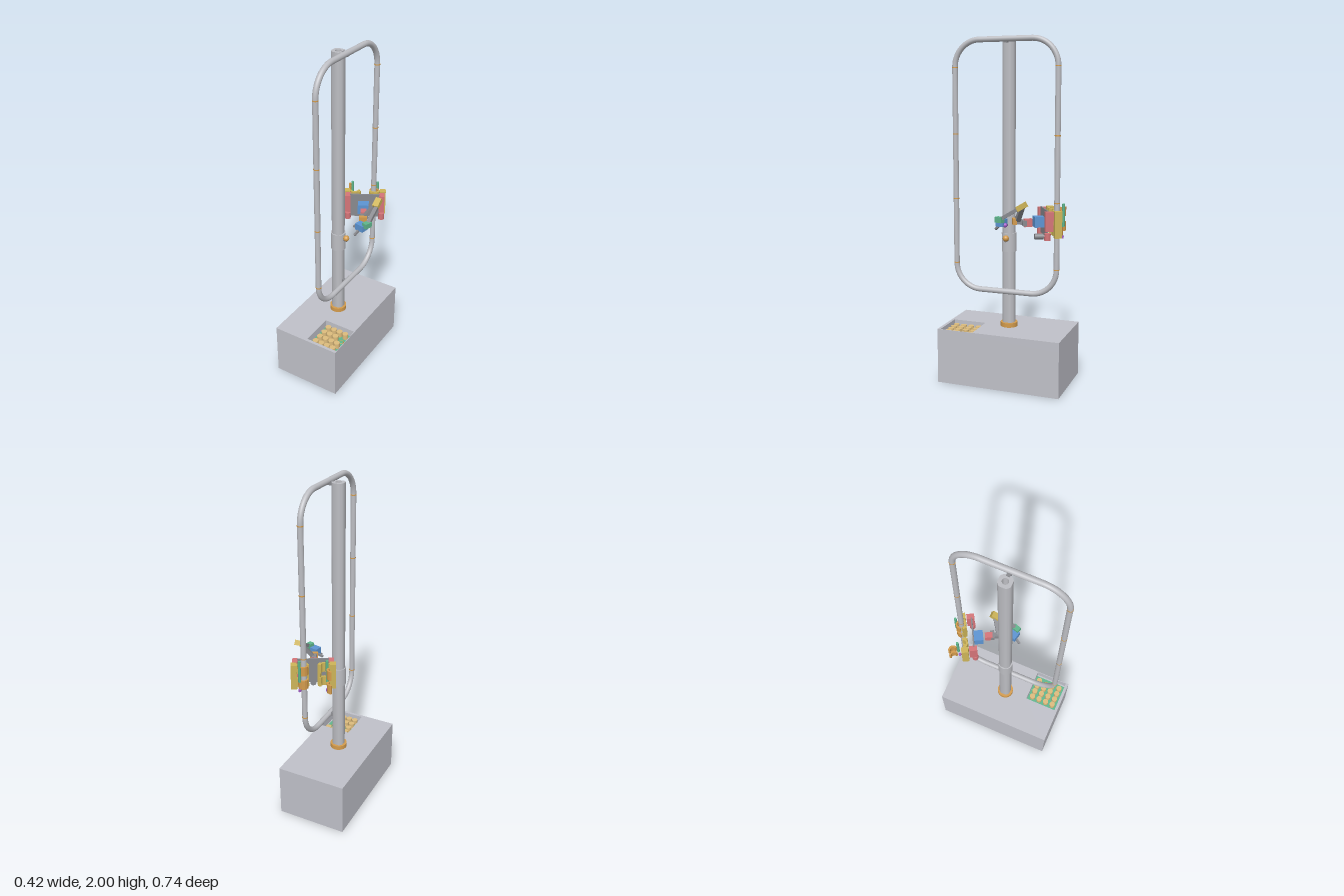
import * as THREE from 'three';
import { toCreasedNormals } from 'three/addons/utils/BufferGeometryUtils.js';

const V = (x, y, z) => new THREE.Vector3(x, y, z);
const paint = (name, color) => {
  const m = new THREE.MeshStandardMaterial({ color });
  m.name = name;
  return m;
};

export function createModel() {
  const model = new THREE.Group();
  model.name = 'trackRobotStation';
  const baseGrey = paint('baseGrey', 0xbfc0c8), steel = paint('steel', 0xbcbdc2);
  const darkGrey = paint('darkGrey', 0x88898e), brass = paint('brass', 0xd39b4c);
  const sand = paint('sand', 0xdcbb7c), gold = paint('gold', 0xcdb458);
  const red = paint('red', 0xd47478), blue = paint('blue', 0x5c94d2);
  const green = paint('green', 0x5fb58c), purple = paint('purple', 0xa25cc8);

  // Helpers
  const add = (parent, name, geo, mat, x = 0, y = 0, z = 0, ry = 0) => {
    const m = new THREE.Mesh(geo, mat);
    m.name = name;
    m.position.set(x, y, z);
    m.rotation.y = ry;
    parent.add(m);
    return m;
  };
  const box = (parent, name, mat, w, h, d, x, y, z, ry = 0) =>
    add(parent, name, new THREE.BoxGeometry(w, h, d), mat, x, y, z, ry);
  const cyl = (parent, name, mat, r, h, x, y, z, sides = 32) =>
    add(parent, name, new THREE.CylinderGeometry(r, r, h, sides), mat, x, y, z);
  const beam = (parent, name, mat, a, b, w, h) => {
    const m = box(parent, name, mat, w, h, a.distanceTo(b), 0, 0, 0);
    m.position.copy(a).lerp(b, 0.5);
    m.lookAt(b);
    return m;
  };
  const upright = (shape, h) => {
    const g = new THREE.ExtrudeGeometry(shape, { depth: h, bevelEnabled: false, curveSegments: 16 });
    g.rotateX(-Math.PI / 2);
    return toCreasedNormals(g, 0.5);
  };
  const rect = (T, x0, x1, y0, y1) =>
    new T([[x0, y0], [x1, y0], [x1, y1], [x0, y1]].map(p => new THREE.Vector2(...p)));
  const arcJaw = (r0, r1, a0, a1, h) => {
    const s = new THREE.Shape();
    s.absarc(0, 0, r1, a0, a1, false);
    s.absarc(0, 0, r0, a1, a0, true);
    return upright(s, h);
  };

  // Base with a sunken tray
  const base = new THREE.Group();
  base.name = 'base';
  model.add(base);
  box(base, 'baseBlock', baseGrey, 0.42, 0.27, 0.74, 0, 0.135, 0);
  const rim = rect(THREE.Shape, -0.21, 0.21, -0.37, 0.37);
  rim.holes.push(rect(THREE.Path, 0.005, 0.206, -0.352, -0.15));
  add(base, 'baseRim', upright(rim, 0.055), baseGrey, 0, 0.27, 0);
  box(base, 'trayBoard', green, 0.188, 0.008, 0.2, 0.1, 0.274, 0.251);

  // Sample vials, with one empty socket
  for (let i = 0; i < 4; i++) for (let j = 0; j < 4; j++) {
    const x = 0.042 + i * 0.04, z = 0.18 + j * 0.0473;
    if (i === 3 && j === 1) {
      const ring = new THREE.TorusGeometry(0.015, 0.002, 8, 32).rotateX(Math.PI / 2);
      add(base, 'emptySocket', ring, brass, x, 0.279, z);
    } else cyl(base, 'vial', sand, 0.0175, 0.034, x, 0.294, z);
  }

  // Hollow column with four flats
  const mast = new THREE.Group();
  mast.name = 'mast';
  model.add(mast);
  const R = 0.038, flat = Math.asin(0.016 / R), section = new THREE.Shape();
  for (let i = 0; i < 4; i++)
    section.absarc(0, 0, R, i * Math.PI / 2 + flat, (i + 1) * Math.PI / 2 - flat, false);
  section.closePath();
  section.holes.push(new THREE.Path().absarc(0, 0, 0.017, 0, Math.PI * 2, true));
  add(mast, 'column', upright(section, 1.665), steel, 0, 0.32, 0);
  cyl(mast, 'footCollar', brass, 0.05, 0.026, 0, 0.338, 0, 48);
  cyl(mast, 'sleeve', steel, 0.043, 0.11, 0, 0.832, 0, 48);
  const stem = cyl(mast, 'knobStem', darkGrey, 0.012, 0.03, 0.045, 0.85, 0);
  stem.rotation.z = Math.PI / 2;
  add(mast, 'knob', new THREE.SphereGeometry(0.018, 24, 16), brass, 0.055, 0.86, 0);
  for (const y of [0.548, 1.975]) box(mast, 'trackClamp', darkGrey, 0.035, 0.022, 0.02, 0.044, y, 0);

  // Closed tubular track: straight runs joined by quarter bends
  const track = new THREE.CurvePath(), X = 0.06, Z = 0.307, B = 0.15;
  const lo = 0.548, hi = 1.984, K = B * 0.448;
  const corners = [[Z, lo, 0, 1], [Z, hi, 1, 0], [-Z, hi, 0, -1], [-Z, lo, -1, 0]];
  const ends = corners.map(([z, y]) => {
    const sz = Math.sign(z), sy = y === hi ? 1 : -1;
    const v = [V(X, y - sy * B, z), V(X, y - sy * K, z), V(X, y, z - sz * K), V(X, y, z - sz * B)];
    return sz * sy > 0 ? v : v.reverse();
  });
  ends.forEach((p, i) => {
    track.add(new THREE.CubicBezierCurve3(...p));
    track.add(new THREE.LineCurve3(p[3], ends[(i + 1) % 4][0]));
  });
  const trackGroup = new THREE.Group();
  trackGroup.name = 'track';
  model.add(trackGroup);
  track.curves.forEach((c, i) => add(trackGroup, i % 2 ? 'straightTube' : 'bentTube',
    new THREE.TubeGeometry(c, i % 2 ? 1 : 14, 0.016, 20), steel));
  for (const z of [Z, -Z]) for (const y of [0.7, 1.08, 1.455, 1.832])
    cyl(trackGroup, 'jointRing', brass, 0.0168, 0.006, X, y, z);

  // Climbing robot body
  const robot = new THREE.Group();
  robot.name = 'robot';
  robot.position.set(0.045, 0, -0.228);
  robot.rotation.y = 0.51;
  model.add(robot);
  box(robot, 'backPlate', darkGrey, 0.18, 0.15, 0.008, 0, 0.97, 0);
  box(robot, 'controlBox', blue, 0.065, 0.06, 0.055, -0.008, 0.97, 0.031);
  const lamp = cyl(robot, 'lamp', darkGrey, 0.017, 0.05, 0, 0.885, 0.03, 20);
  lamp.rotation.x = Math.PI / 2;

  // Two mirrored grippers: the inner one open, the outer one on the track
  for (const s of [-1, 1]) {
    const g = new THREE.Group();
    g.name = s < 0 ? 'openGripper' : 'closedGripper';
    robot.add(g);
    box(g, 'motor', red, 0.032, 0.11, 0.046, s * 0.101, 0.985, -0.006);
    cyl(g, 'lowerMotor', red, 0.018, 0.04, s * 0.101, 0.9, 0.002, 20);
    box(g, 'gripperBody', gold, 0.034, 0.15, 0.04, s * 0.108, 0.968, -0.055);
    for (const y of [0.9, 0.985]) {
      add(g, 'fixedJaw', arcJaw(0.019, 0.031, Math.PI, Math.PI * 2, 0.055), gold, s * 0.062, y, -0.064);
      if (s > 0)
        add(g, 'movingJaw', arcJaw(0.019, 0.029, 0.1, Math.PI - 0.1, 0.055), brass, 0.056, y, -0.066);
      else
        add(g, 'movingJaw', arcJaw(0.017, 0.028, -1.2, 1.2, 0.055), brass, -0.1, y, -0.122, 0.3);
    }
    box(g, 'jawTip', gold, 0.014, 0.14, 0.022, s * 0.035, 0.968, -0.046, s * 0.5);
    cyl(g, 'hingePin', green, 0.008, 0.13, s * 0.076, 1.015, -0.093, 8);
    cyl(g, 'hingeFoot', purple, 0.008, 0.014, s * 0.076, 0.893, -0.088, 8);
  }

  // Jointed arm
  const arm = new THREE.Group();
  arm.name = 'arm';
  model.add(arm);
  const shoulder = V(0.1, 0.97, -0.115), elbow = V(0.175, 1.065, -0.14), wrist = V(0.188, 0.995, -0.02);
  box(arm, 'shoulderMotor', red, 0.035, 0.045, 0.045, 0.085, 0.965, -0.145, 0.5);
  box(arm, 'shoulderLink', darkGrey, 0.05, 0.03, 0.022, 0.1, 0.965, -0.128, 0.5);
  beam(arm, 'shoulderBracket', darkGrey, shoulder, V(0.115, 0.975, -0.08), 0.026, 0.03);
  box(arm, 'shoulderJoint', brass, 0.046, 0.036, 0.022, 0.122, 0.975, -0.077, 0.5);
  beam(arm, 'upperArm', darkGrey, V(0.12, 0.98, -0.095), elbow, 0.028, 0.022);
  const joint = beam(arm, 'elbowJoint', gold, V(0.178, 1.08, -0.165), V(0.18, 1.05, -0.115), 0.036, 0.03);
  joint.position.y += 0.003;
  beam(arm, 'forearm', darkGrey, V(0.186, 1.06, -0.13), wrist, 0.022, 0.02);
  box(arm, 'wristJoint', green, 0.032, 0.032, 0.045, 0.186, 0.99, -0.012, -0.3);
  box(arm, 'hand', blue, 0.055, 0.04, 0.045, 0.15, 0.968, -0.01, -0.2);
  add(arm, 'sensor', new THREE.SphereGeometry(0.013, 20, 14), purple, 0.155, 0.955, -0.033);
  beam(arm, 'finger', darkGrey, V(0.135, 0.96, -0.024), V(0.092, 0.945, -0.022), 0.012, 0.012);
  beam(arm, 'finger', darkGrey, V(0.145, 0.955, 0), V(0.13, 0.925, 0.034), 0.012, 0.012);

  return model;
}
